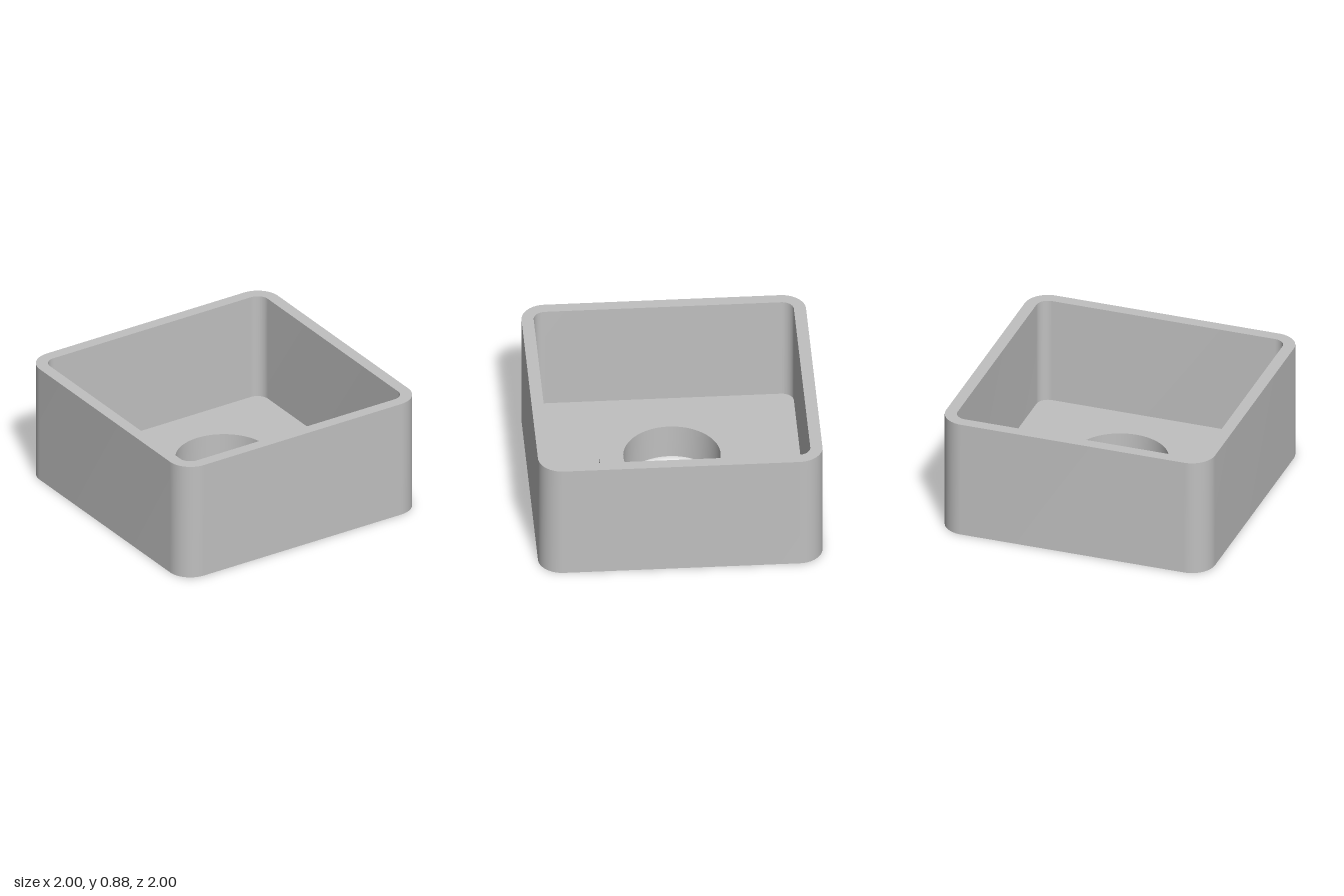
import * as THREE from 'three';
import { toCreasedNormals } from 'three/addons/utils/BufferGeometryUtils.js';

const WALL = 0.0855;          // wall and floor thickness
const HEIGHT = 0.877;
const BOSS_TOP = 0.256;
const HOLE_R = 0.342;
const BOSS_R = 0.513;

// Square outline with rounded corners, counter-clockwise
function roundedSquare(half, r) {
  const s = new THREE.Shape();
  const c = half - r;
  s.absarc(c, c, r, 0, Math.PI / 2);
  s.absarc(-c, c, r, Math.PI / 2, Math.PI);
  s.absarc(-c, -c, r, Math.PI, Math.PI * 1.5);
  s.absarc(c, -c, r, Math.PI * 1.5, Math.PI * 2);
  s.closePath();
  return s.getPoints(12);
}

function circle(r) {
  return new THREE.Shape().absarc(0, 0, r, 0, Math.PI * 2).getPoints(36);
}

// Upright band along an outline, facing outward or inward
function band(points, y0, y1, inward = false) {
  const pos = [];
  for (let i = 0; i < points.length; i++) {
    let a = points[i], b = points[(i + 1) % points.length];
    if (a.distanceTo(b) < 1e-6) continue;
    if (inward) [a, b] = [b, a];
    pos.push(a.x, y0, -a.y, b.x, y0, -b.y, b.x, y1, -b.y);
    pos.push(a.x, y0, -a.y, b.x, y1, -b.y, a.x, y1, -a.y);
  }
  const g = new THREE.BufferGeometry();
  g.setAttribute('position', new THREE.Float32BufferAttribute(pos, 3));
  return toCreasedNormals(g, 0.6);
}

// Level face with an opening, facing up or down
function face(outline, opening, y, down = false) {
  const s = new THREE.Shape(outline);
  s.holes.push(new THREE.Path(opening));
  const g = new THREE.ShapeGeometry(s);
  g.rotateX(down ? Math.PI / 2 : -Math.PI / 2);
  return g.translate(0, y, 0);
}

export function createModel() {
  const group = new THREE.Group();
  group.name = 'openBox';
  const grey = new THREE.MeshStandardMaterial({ color: 0xc0c0c0 });
  grey.name = 'plain grey';

  const outer = roundedSquare(1, WALL * 2);
  const inner = roundedSquare(1 - WALL, WALL);
  const boss = circle(BOSS_R);
  const hole = circle(HOLE_R);

  const parts = {
    // Box shell
    outerWall: band(outer, 0, HEIGHT),
    rim: face(outer, inner, HEIGHT),
    innerWall: band(inner, WALL, HEIGHT, true),
    floor: face(inner, boss, WALL),
    underside: face(outer, hole, 0, true),
    // Raised collar around the through hole
    collarWall: band(boss, WALL, BOSS_TOP),
    collarTop: face(boss, hole, BOSS_TOP),
    holeWall: band(hole, 0, BOSS_TOP, true),
  };
  for (const [name, geometry] of Object.entries(parts)) {
    const mesh = new THREE.Mesh(geometry, grey);
    mesh.name = name;
    group.add(mesh);
  }
  return group;
}
